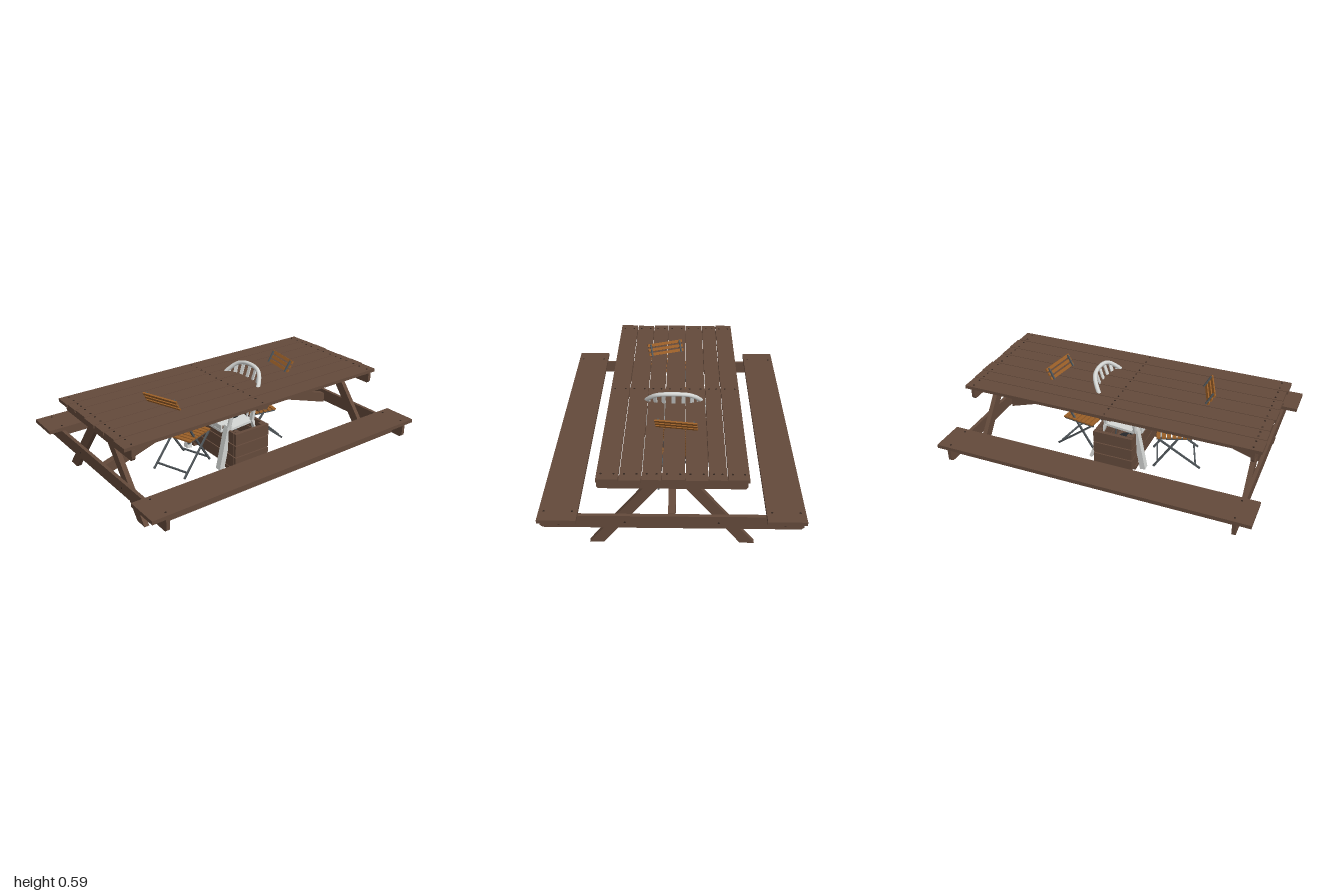
import * as THREE from 'three';

const mat = (name, color, side = THREE.FrontSide) => {
  const m = new THREE.MeshStandardMaterial({ color, side });
  m.name = name;
  return m;
};
const V = (x, y, z) => new THREE.Vector3(x, y, z);

export function createModel() {
  const wood = mat('brown wood', 0x644a3b);
  const slatWood = mat('orange wood', 0x9a5f28);
  const plastic = mat('white plastic', 0xd6d8d6);
  const steel = mat('grey steel', 0x50565a);
  const black = mat('black enamel', 0x25272a, THREE.DoubleSide);
  const nailMat = mat('nail', 0x33261f);

  const model = new THREE.Group();
  model.name = 'picnicSet';
  const group = (name) => {
    const g = new THREE.Group();
    g.name = name;
    model.add(g);
    return g;
  };
  const add = (g, name, geo, m) => {
    const mesh = new THREE.Mesh(geo, m);
    mesh.name = name;
    g.add(mesh);
    return mesh;
  };
  // box given by its limits on each axis
  const box = (g, name, m, x0, x1, y0, y1, z0, z1) => {
    const mesh = add(g, name, new THREE.BoxGeometry(x1 - x0, y1 - y0, z1 - z0), m);
    mesh.position.set((x0 + x1) / 2, (y0 + y1) / 2, (z0 + z1) / 2);
    return mesh;
  };
  // straight bar between two points
  const bar = (g, name, m, a, b, w, d) => {
    const dir = b.clone().sub(a);
    const mesh = add(g, name, new THREE.BoxGeometry(w, dir.length(), d), m);
    mesh.position.copy(a).add(b).multiplyScalar(0.5);
    mesh.quaternion.setFromUnitVectors(V(0, 1, 0), dir.normalize());
    return mesh;
  };
  const tube = (g, name, m, pts, r, seg = 24) =>
    add(g, name, new THREE.TubeGeometry(new THREE.CatmullRomCurve3(pts), seg, r, 8), m);
  // board with a given outline, centred on its thickness
  const board = (g, name, m, pts, depth) => {
    const shape = new THREE.Shape(pts.map(([x, y]) => new THREE.Vector2(x, y)));
    const geo = new THREE.ExtrudeGeometry(shape, { depth, bevelEnabled: false });
    return add(g, name, geo.translate(0, 0, -depth / 2), m);
  };

  // ---- picnic table ----
  const table = group('picnicTable');
  const nailGeo = new THREE.CylinderGeometry(0.006, 0.006, 0.004, 8);
  const nail = (x, y, z) => add(table, 'nail', nailGeo, nailMat).position.set(x, y, z);
  const edges = [[-0.414, -0.3], [-0.295, -0.2], [-0.195, -0.075], [-0.07, 0.05],
    [0.055, 0.157], [0.162, 0.278], [0.284, 0.402]];
  edges.forEach(([a, b], i) => {
    const shift = (i % 3) * 0.004;
    box(table, 'topPlank', wood, a, b, 0.474, 0.495, -0.97 - shift, 0.958 - shift);
    for (const z of [-0.92, -0.01, 0.9])
      for (const x of [a + 0.025, b - 0.025]) nail(x, 0.495, z);
  });
  box(table, 'centreCleat', wood, -0.39, 0.39, 0.452, 0.474, -0.045, 0.035);

  for (const s of [-1, 1]) {
    const zc = s > 0 ? 0.905 : -0.92;
    const zl = zc - s * 0.025;
    // rails joining the planks and the benches
    const rail = board(table, 'topRail', wood, [[-0.41, 0.474], [-0.41, 0.42], [-0.4, 0.406],
      [0.395, 0.406], [0.405, 0.42], [0.405, 0.474]], 0.022);
    rail.position.z = zc;
    const beam = board(table, 'benchBeam', wood, [[-0.735, 0.213], [-0.735, 0.14], [-0.72, 0.128],
      [0.72, 0.132], [0.735, 0.145], [0.735, 0.213]], 0.022);
    beam.position.z = zc;
    // splayed legs
    for (const k of [-1, 1]) {
      const pts = [[0.385, 0.008], [0.465, 0.008], [0.09, 0.474], [0.01, 0.474]]
        .map(([x, y]) => [x * k, y]);
      board(table, 'tableLeg', wood, pts, 0.03).position.z = zl;
      for (const [x, y] of [[0.12, 0.45], [0.26, 0.17], [0.62, 0.18], [0.63, 0.155]]) {
        const n = add(table, 'beamNail', nailGeo, nailMat);
        n.rotation.x = Math.PI / 2;
        n.position.set(x * k, y, zc + s * 0.011);
      }
    }
    // diagonal brace to the middle of the top
    const brace = board(table, 'diagonalBrace', wood,
      [[0.03, 0.474], [0.03, 0.405], [0.89, 0.13], [0.89, 0.2]].map(([z, y]) => [z * s, y]), 0.042);
    brace.rotation.y = -Math.PI / 2;
    // bench
    const x0 = s > 0 ? 0.52 : -0.738;
    box(table, 'benchSeat', wood, x0, x0 + 0.216, 0.213, 0.236, -1, 1);
    box(table, 'benchApron', wood, s * 0.63 - 0.02, s * 0.63 + 0.02, 0.132, 0.213, -0.91, 0.895);
    for (const z of [-0.92, 0.9]) for (const x of [0.03, 0.186]) nail(x0 + x, 0.236, z);
  }

  // ---- wooden crate ----
  const crate = group('crate');
  for (let i = 0; i < 3; i++) {
    const y = 0.04 + i * 0.083;
    for (const s of [-1, 1]) {
      const z = s * 0.122, x = s * 0.285;
      box(crate, 'crateSideBoard', wood, -0.27, 0.27, y, y + 0.076, z - 0.008, z + 0.008);
      box(crate, 'crateEndBoard', wood, x - 0.012, x + 0.012, y, y + 0.076, -0.132, 0.13);
    }
    const zb = -0.125 + i * 0.086;
    box(crate, 'crateFloorBoard', wood, -0.275, 0.275, 0.03, 0.045, zb, zb + 0.078);
  }
  for (const sx of [-1, 1]) {
    for (const sz of [-1, 1])
      box(crate, 'cratePost', wood, sx * 0.26 - 0.015, sx * 0.26 + 0.015, 0.005, 0.285,
        sz * 0.1 - 0.014, sz * 0.1 + 0.014);
    box(crate, 'crateRunner', wood, sx * 0.2 - 0.03, sx * 0.2 + 0.03, 0.005, 0.03, -0.13, 0.13);
  }

  // ---- small kettle grill ----
  const grill = group('kettleGrill');
  grill.position.set(0.01, 0, -0.03);
  const lathe = (name, pts, m) =>
    add(grill, name, new THREE.LatheGeometry(pts.map(([x, y]) => new THREE.Vector2(x, y)), 24), m);
  lathe('grillLid', [[0.078, 0.3], [0.073, 0.325], [0.055, 0.35], [0.03, 0.363], [0, 0.367]], black);
  lathe('grillBowl', [[0, 0.225], [0.035, 0.23], [0.062, 0.255], [0.078, 0.298]], black);
  lathe('ashPlate', [[0, 0.055], [0.05, 0.058], [0.055, 0.068]], black);
  for (let i = 0; i < 3; i++) {
    const a = i * Math.PI * 2 / 3 + 0.4, c = Math.cos(a), s = Math.sin(a);
    tube(grill, 'grillLeg', steel, [V(c * 0.05, 0.25, s * 0.05), V(c * 0.09, 0.005, s * 0.09)], 0.005, 2);
  }

  // ---- white plastic armchair ----
  const chair = group('plasticArmchair');
  const topRail = new THREE.CatmullRomCurve3([V(-0.185, 0.45, -0.11), V(-0.165, 0.5, -0.15),
    V(-0.1, 0.56, -0.2), V(0, 0.575, -0.215), V(0.1, 0.56, -0.2), V(0.165, 0.5, -0.15), V(0.185, 0.45, -0.11)]);
  add(chair, 'backRim', new THREE.TubeGeometry(topRail, 40, 0.014, 8), plastic);
  for (let i = 0; i < 7; i++) {
    const top = topRail.getPoint(0.2 + i * 0.1);
    bar(chair, 'backSlat', plastic, top, V(top.x * 0.85, 0.265, -0.11), 0.024, 0.008);
  }
  const seat = board(chair, 'chairSeat', plastic, [[-0.165, -0.12], [0.165, -0.12], [0.19, 0.1],
    [0.16, 0.15], [-0.16, 0.15], [-0.19, 0.1]], 0.016);
  seat.rotation.x = Math.PI / 2;
  seat.position.y = 0.26;
  box(chair, 'seatFront', plastic, -0.165, 0.165, 0.25, 0.3, 0.135, 0.148);
  for (const k of [-1, 1]) {
    tube(chair, 'armRest', plastic, [V(k * 0.185, 0.45, -0.11), V(k * 0.235, 0.445, -0.03),
      V(k * 0.248, 0.447, 0.06), V(k * 0.24, 0.43, 0.1), V(k * 0.215, 0.29, 0.125)], 0.014);
    bar(chair, 'frontLeg', plastic, V(k * 0.185, 0.005, 0.17), V(k * 0.205, 0.31, 0.12), 0.042, 0.036);
    bar(chair, 'rearLeg', plastic, V(k * 0.19, 0.005, -0.2), V(k * 0.165, 0.27, -0.1), 0.034, 0.02);
    bar(chair, 'backPost', plastic, V(k * 0.165, 0.26, -0.1), V(k * 0.185, 0.46, -0.115), 0.024, 0.018);
  }

  // ---- folding slatted chairs ----
  const foldingChair = (x, z, turn) => {
    const g = group('foldingChair');
    g.position.set(x, 0, z);
    g.rotation.y = turn;
    for (let i = 0; i < 7; i++) {
      const t = i / 6;
      const s = add(g, 'foldingBackSlat', new THREE.BoxGeometry(0.25, 0.02, 0.01), slatWood);
      s.position.set(0, 0.393 + t * 0.163, -0.125 - t * 0.095);
      s.rotation.x = -0.53;
      const zs = -0.1 + i * 0.033;
      box(g, 'foldingSeatSlat', slatWood, -0.125, 0.125, 0.238, 0.248, zs, zs + 0.025);
    }
    for (const k of [-1, 1]) {
      // back post runs down to the front foot, the other leg crosses it
      bar(g, 'foldingBackPost', steel, V(k * 0.105, 0.565, -0.215), V(k * 0.105, 0.27, -0.045), 0.01, 0.012);
      bar(g, 'foldingFrontLeg', steel, V(k * 0.105, 0.27, -0.045), V(k * 0.105, 0.01, 0.14), 0.01, 0.012);
      bar(g, 'foldingRearLeg', steel, V(k * 0.12, 0.232, 0.11), V(k * 0.12, 0.01, -0.16), 0.01, 0.012);
      box(g, 'foldingSeatRail', steel, k * 0.112 - 0.005, k * 0.112 + 0.005, 0.226, 0.238, -0.1, 0.125);
    }
    box(g, 'foldingFrontBar', steel, -0.105, 0.105, 0.035, 0.045, 0.11, 0.12);
    box(g, 'foldingRearBar', steel, -0.12, 0.12, 0.035, 0.045, -0.135, -0.125);
  };
  foldingChair(-0.05, -0.29, -0.15);
  foldingChair(-0.005, 0.32, Math.PI + 0.35);

  return model;
}
